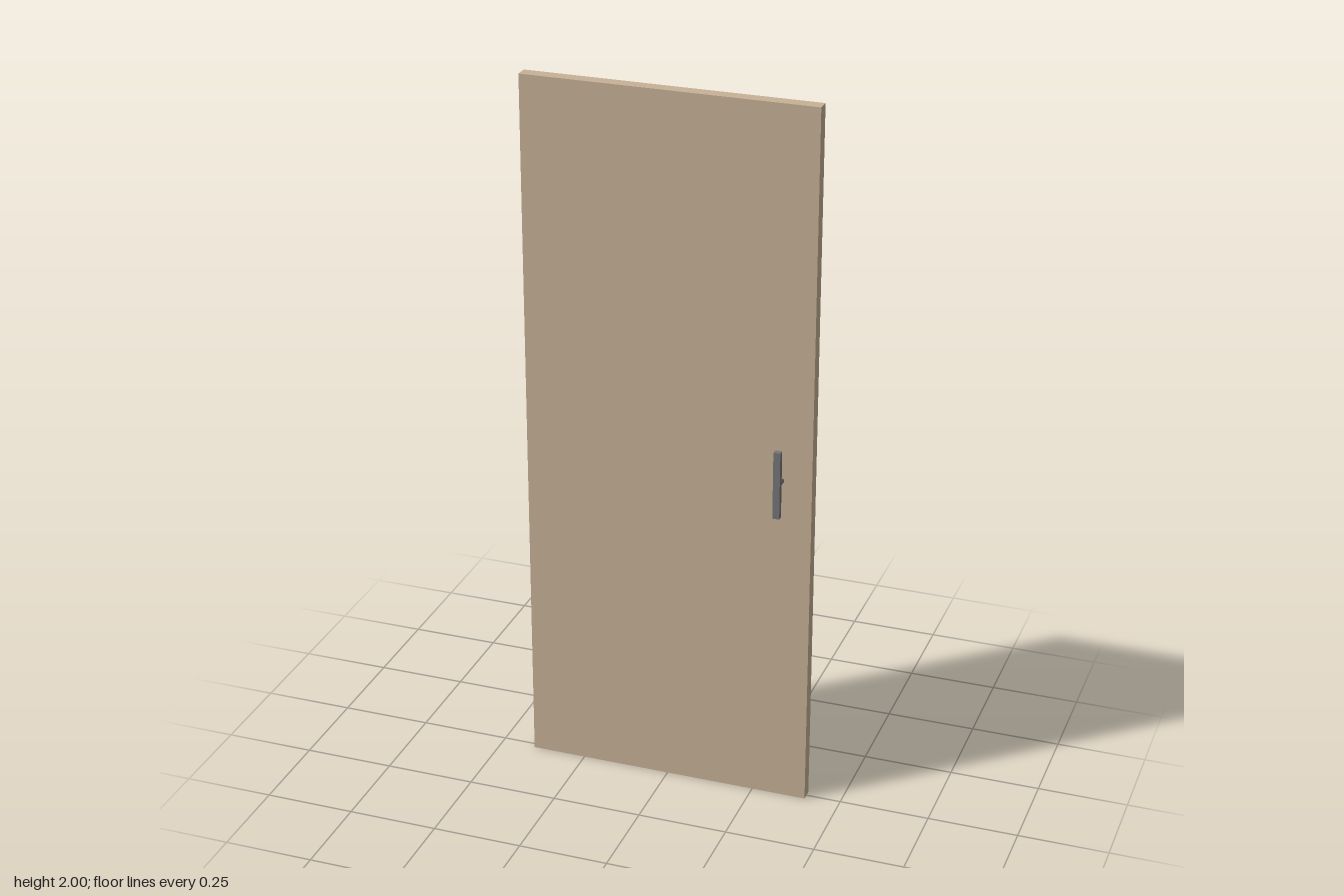
import * as THREE from 'three';

export function createModel() {
  const door = new THREE.Group();
  door.name = 'door';
  const wood = new THREE.MeshStandardMaterial({ color: 0xc8b296 });
  wood.name = 'pale wood';
  const metal = new THREE.MeshStandardMaterial({ color: 0x77777a });
  metal.name = 'grey metal';

  const add = (parent, name, geometry, material, x, y, z) => {
    const mesh = new THREE.Mesh(geometry, material);
    mesh.name = name;
    mesh.position.set(x, y, z);
    parent.add(mesh);
    return mesh;
  };

  // Door leaf
  const width = 0.805, height = 2, thickness = 0.036;
  add(door, 'doorLeaf', new THREE.BoxGeometry(width, height, thickness), wood, 0, height / 2, 0);

  // Matching pull handles: an upright bar on a round stem
  const reach = 0.0555, barDepth = 0.016, barWidth = 0.019;
  const stemLength = reach - barDepth - thickness / 2;
  for (const side of [1, -1]) {
    const handle = new THREE.Group();
    handle.name = side > 0 ? 'frontHandle' : 'backHandle';
    handle.position.set(0.316, 0.965, 0);
    door.add(handle);
    add(handle, 'handleBar', new THREE.BoxGeometry(barWidth, 0.192, barDepth), metal,
      0, 0, side * (reach - barDepth / 2));
    const stem = add(handle, 'handleStem',
      new THREE.CylinderGeometry(barWidth / 2, barWidth / 2, stemLength, 24), metal,
      0, 0, side * (thickness + stemLength * 2) / 2);
    stem.position.z = side * (thickness / 2 + stemLength / 2);
    stem.rotation.x = Math.PI / 2;
  }
  return door;
}
